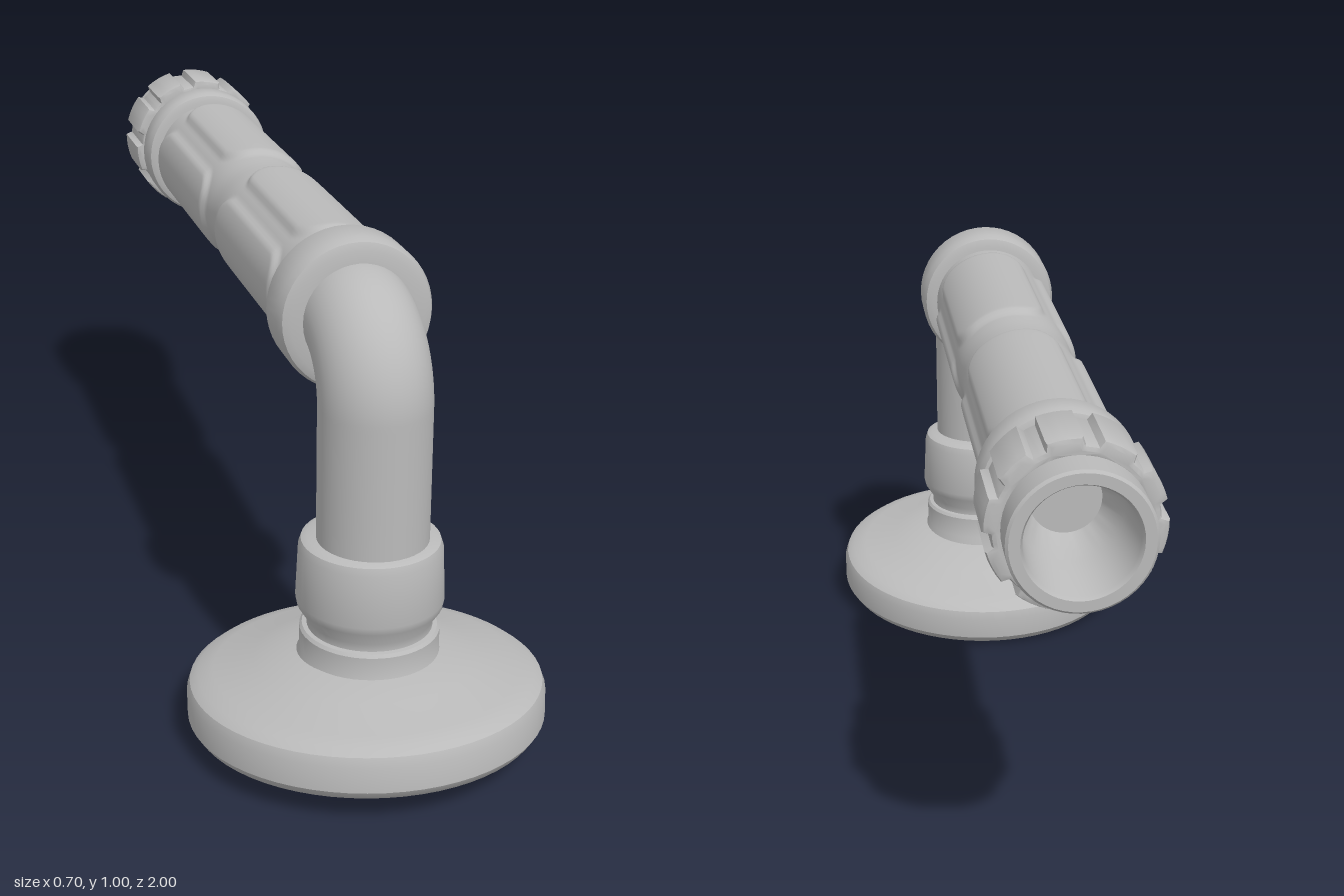
import * as THREE from 'three';
import { toCreasedNormals } from 'three/addons/utils/BufferGeometryUtils.js';

const AXIS_Y = 0.837; // height of the handle axis
const HEAD_Z = 0.645; // centre of the spray head

const mat = new THREE.MeshStandardMaterial({ color: 0xbababa });
mat.name = 'grey metal';

function add(parent, name, geometry) {
  const mesh = new THREE.Mesh(geometry, mat);
  mesh.name = name;
  parent.add(mesh);
  return mesh;
}

function lathe(points, segments = 48) {
  const pts = points.map(([r, y]) => new THREE.Vector2(r, y));
  return toCreasedNormals(new THREE.LatheGeometry(pts, segments), 0.6);
}

// Ring with rounded edges; lies between y0 and y1 with outer radius r
function collar(r, y0, y1, b = 0.018) {
  return lathe([
    [0.09, y0], [r - b, y0], [r - b * 0.3, y0 + b * 0.3], [r, y0 + b],
    [r, y1 - b], [r - b * 0.3, y1 - b * 0.3], [r - b, y1], [0.09, y1],
  ]);
}

// Handle radius: a core with two rows of three raised, rounded grip panels
function gripRadius(z, angle) {
  let raise = 0;
  for (const zc of [0.16, -0.435]) {
    for (const deg of [72, -48, 192]) {
      let d = angle - THREE.MathUtils.degToRad(deg);
      d = Math.atan2(Math.sin(d), Math.cos(d));
      const corner = 0.07;
      const qx = Math.abs(z - zc) - 0.24 + corner;
      const qy = Math.abs(d) * 0.13 - 0.12 + corner;
      const dist = Math.hypot(Math.max(qx, 0), Math.max(qy, 0)) + Math.min(Math.max(qx, qy), 0) - corner;
      raise = Math.max(raise, 1 - THREE.MathUtils.smoothstep(dist, -0.02, 0.002));
    }
  }
  const waist = 0.004 * Math.exp(-(((z + 0.14) / 0.06) ** 2));
  return 0.122 - waist + 0.01 * raise;
}

function gripGeometry() {
  const rows = 150, cols = 120, z0 = -0.72, z1 = 0.48;
  const pos = [], index = [];
  for (let i = 0; i <= rows; i++) {
    const z = z0 + ((z1 - z0) * i) / rows;
    for (let j = 0; j < cols; j++) {
      const a = (j / cols) * Math.PI * 2;
      const r = gripRadius(z, a);
      pos.push(r * Math.cos(a), r * Math.sin(a), z);
      if (i < rows) {
        const k = i * cols + j, n = i * cols + ((j + 1) % cols);
        index.push(k, n, n + cols, k, n + cols, k + cols);
      }
    }
  }
  const g = new THREE.BufferGeometry();
  g.setAttribute('position', new THREE.Float32BufferAttribute(pos, 3));
  g.setIndex(index);
  g.computeVertexNormals();
  return g;
}

// Nut outline with ten lugs
function nutGeometry() {
  const shape = new THREE.Shape();
  const lugs = 10, steps = 4;
  for (let i = 0; i < lugs; i++) {
    const c = THREE.MathUtils.degToRad(10 + i * 36);
    for (const [r, from, to] of [[0.161, -0.2, 0.2], [0.147, 0.24, 0.39]]) {
      for (let s = 0; s <= steps; s++) {
        const a = c + from + ((to - from) * s) / steps;
        const x = r * Math.cos(a), y = r * Math.sin(a);
        if (i + s === 0 && r > 0.15) shape.moveTo(x, y);
        else shape.lineTo(x, y);
      }
    }
  }
  shape.closePath();
  const hole = new THREE.Path();
  hole.absarc(0, 0, 0.12, 0, Math.PI * 2, true);
  shape.holes.push(hole);
  const g = new THREE.ExtrudeGeometry(shape, {
    depth: 0.126, bevelSize: 0.01, bevelThickness: 0.01, bevelOffset: -0.01, bevelSegments: 2, curveSegments: 32,
  });
  return toCreasedNormals(g, 0.5);
}

export function createModel() {
  const model = new THREE.Group();
  model.name = 'showerHead';

  // Horizontal handle
  const handle = new THREE.Group();
  handle.name = 'handle';
  handle.position.y = AXIS_Y;
  model.add(handle);
  add(handle, 'grip', gripGeometry());
  add(handle, 'nut', nutGeometry()).position.z = -0.92;
  const along = [
    ['frontCollar', collar(0.153, 0.44, 0.56, 0.022)],
    ['rearCollar', collar(0.15, -0.765, -0.68)],
    // Hollow inlet at the rear end
    ['inlet', lathe([
      [0, -0.8], [0.065, -0.8], [0.092, -0.87], [0.1, -0.99], [0.105, -1],
      [0.125, -1], [0.13, -0.995], [0.13, -0.7],
    ])],
  ];
  for (const [name, g] of along) add(handle, name, g).rotation.x = Math.PI / 2;

  // Bent pipe from the handle down to the head
  const path = new THREE.CurvePath();
  const v = (y, z) => new THREE.Vector3(0, y, z);
  const k = 0.552 * 0.135;
  path.add(new THREE.LineCurve3(v(0.36, 0.672), v(0.702, 0.672)));
  path.add(new THREE.CubicBezierCurve3(v(0.702, 0.672), v(0.702 + k, 0.672), v(AXIS_Y, 0.537 + k), v(AXIS_Y, 0.537)));
  path.add(new THREE.LineCurve3(v(AXIS_Y, 0.537), v(AXIS_Y, 0.48)));
  add(model, 'elbowPipe', new THREE.TubeGeometry(path, 48, 0.108, 40));

  // Coupling and neck above the head
  add(model, 'coupling', lathe([
    [0.09, 0.438], [0.122, 0.436], [0.134, 0.43], [0.139, 0.415], [0.144, 0.31],
    [0.141, 0.295], [0.122, 0.265], [0.122, 0.25], [0.131, 0.249], [0.136, 0.243],
    [0.136, 0.195], [0.145, 0.18], [0.145, 0.15],
  ].reverse())).position.z = 0.66;

  // Spray head, tipped slightly upward at the front
  const head = new THREE.Group();
  head.name = 'sprayHead';
  head.position.set(0, 0.075, HEAD_Z);
  head.rotation.x = -0.08;
  model.add(head);
  add(head, 'headBody', lathe([
    [0, -0.047], [0.3, -0.037], [0.303, -0.045], [0.32, -0.045], [0.341, -0.036], [0.352, -0.02],
    [0.352, 0.03], [0.346, 0.048], [0.33, 0.06], [0.3, 0.068], [0.22, 0.09], [0.15, 0.113], [0, 0.113],
  ], 64));
  // Domed face plate
  add(head, 'facePlate', lathe([[0, -0.056], [0.15, -0.053], [0.26, -0.047], [0.296, -0.042], [0.298, -0.036]], 64));

  // Rings of small nozzles
  const nozzle = new THREE.CylinderGeometry(0.008, 0.006, 0.008, 8);
  const nozzles = new THREE.Group();
  nozzles.name = 'nozzles';
  head.add(nozzles);
  [[0.03, 6], [0.075, 10], [0.12, 14], [0.17, 18], [0.22, 20], [0.26, 20]].forEach(([r, n], ring) => {
    for (let i = 0; i < n; i++) {
      const a = ((i + ring * 0.5) / n) * Math.PI * 2;
      add(nozzles, 'nozzle', nozzle).position.set(r * Math.cos(a), -0.0565 + r * r * 0.135, r * Math.sin(a));
    }
  });

  return model;
}
